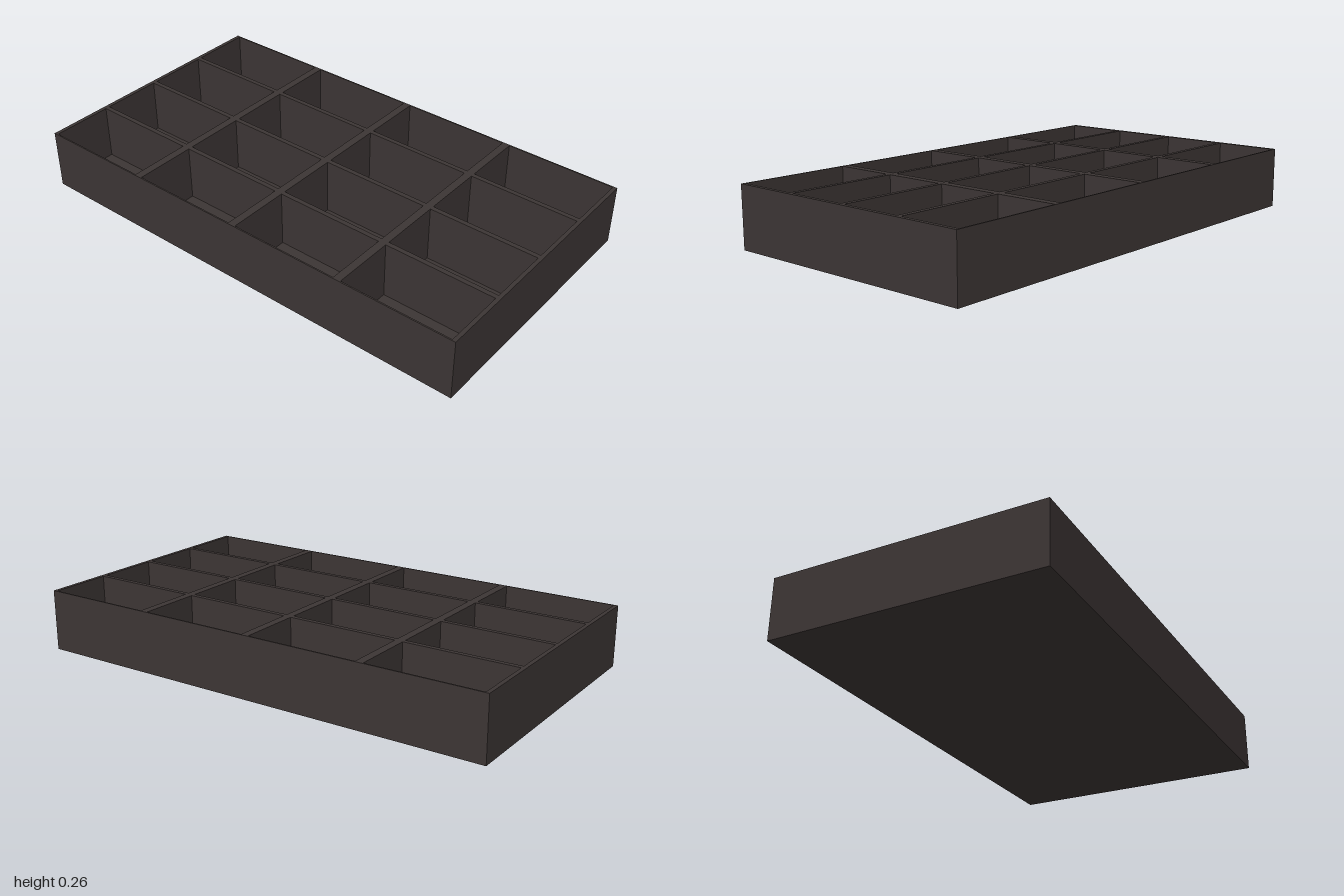
import * as THREE from 'three';

const WIDTH = 2, DEPTH = 1.12, HEIGHT = 0.256, FLOOR = 0.02;
const COLS = 4, ROWS = 4;
const CELL_W = 0.467, CELL_D = 0.262;
const EDGE_X = 0.0165, EDGE_Z = 0.006;

// Centre of cell i when n cells are spread evenly between the outer walls
function cellCentre(i, n, total, edge, cell) {
  const first = -total / 2 + edge + cell / 2;
  return first + (i * -2 * first) / (n - 1);
}

// Traces a centred rectangle on a Shape or Path
function rectangle(path, x, y, w, h) {
  path.moveTo(x - w / 2, y - h / 2);
  path.lineTo(x + w / 2, y - h / 2);
  path.lineTo(x + w / 2, y + h / 2);
  path.lineTo(x - w / 2, y + h / 2);
  path.closePath();
  return path;
}

export function createModel() {
  const group = new THREE.Group();
  group.name = 'compartmentTray';

  const charcoal = new THREE.MeshStandardMaterial({ color: 0x3c3534 });
  charcoal.name = 'charcoal';

  // Outer walls and dividers: one slab pierced by a grid of compartments
  const outline = rectangle(new THREE.Shape(), 0, 0, WIDTH, DEPTH);
  for (let c = 0; c < COLS; c++) {
    for (let r = 0; r < ROWS; r++) {
      const x = cellCentre(c, COLS, WIDTH, EDGE_X, CELL_W);
      const z = cellCentre(r, ROWS, DEPTH, EDGE_Z, CELL_D);
      outline.holes.push(rectangle(new THREE.Path(), x, z, CELL_W, CELL_D));
    }
  }
  const wallGeometry = new THREE.ExtrudeGeometry(outline, { depth: HEIGHT - FLOOR, bevelEnabled: false });
  wallGeometry.rotateX(-Math.PI / 2);
  const walls = new THREE.Mesh(wallGeometry, charcoal);
  walls.name = 'wallsAndDividers';
  walls.position.y = FLOOR;
  group.add(walls);

  // Solid floor under the compartments
  const floor = new THREE.Mesh(new THREE.BoxGeometry(WIDTH, FLOOR, DEPTH), charcoal);
  floor.name = 'floor';
  floor.position.y = FLOOR / 2;
  group.add(floor);

  return group;
}
